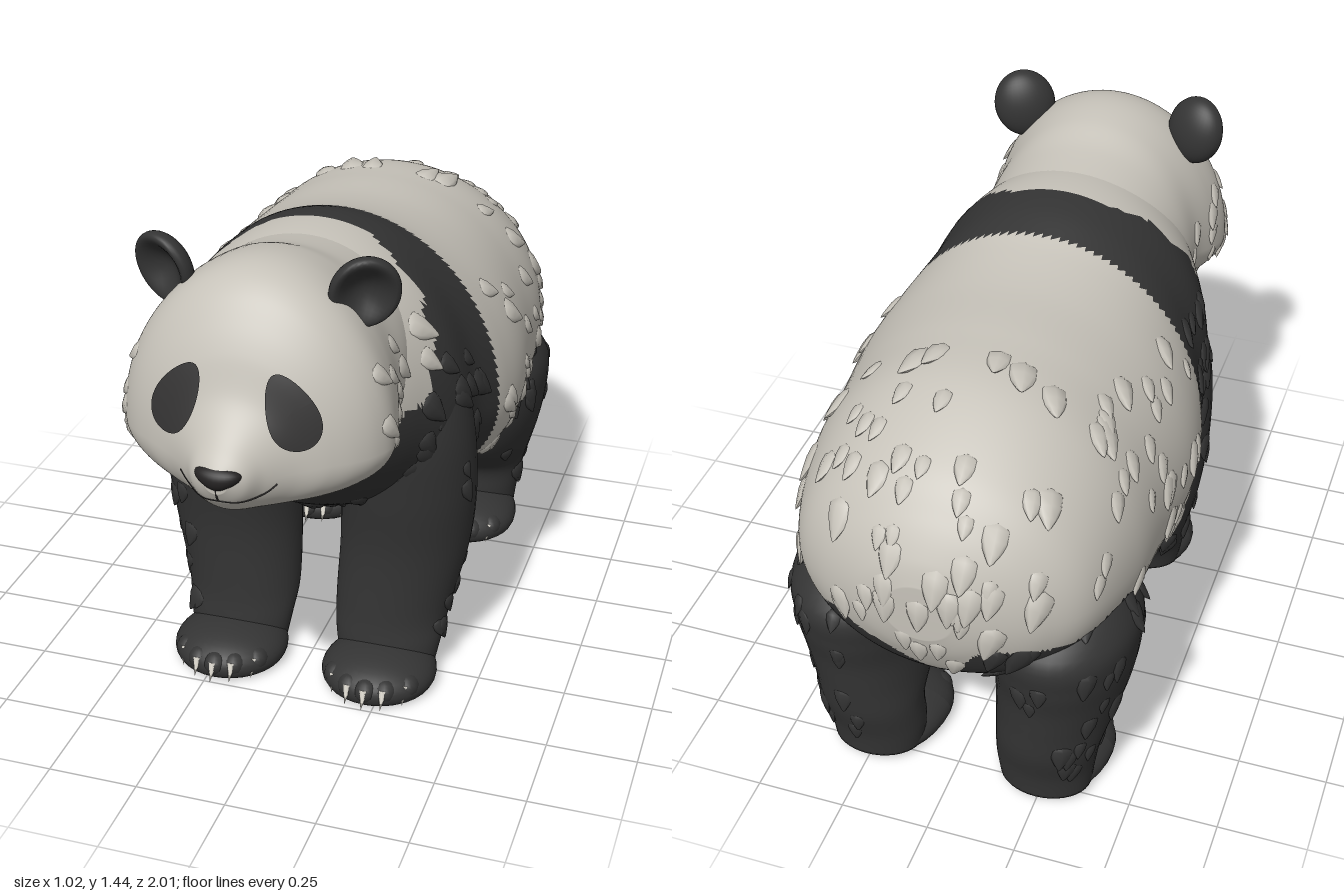
import * as THREE from 'three';
import { mergeGeometries } from 'three/addons/utils/BufferGeometryUtils.js';

const mat = (name, color, side = THREE.FrontSide) => {
  const m = new THREE.MeshStandardMaterial({ color, side });
  m.name = name;
  return m;
};

// Seeded random numbers for the fur
let seed = 7;
const rand = () => (seed = (seed * 16807) % 2147483647) / 2147483647;

// Zigzag of -1..1 used for the furry colour borders
const zigzag = (t) => Math.abs(((t % 2) + 2) % 2 - 1) * 2 - 1;

// Smooth value of all columns of a section table at t in 0..1
function sample(rows, t) {
  const f = t * (rows.length - 1), i = Math.min(Math.floor(f), rows.length - 2), k = f - i;
  const r = (n) => rows[Math.max(0, Math.min(rows.length - 1, n))];
  return rows[0].map((_, c) => {
    const a = r(i - 1)[c], b = r(i)[c], d = r(i + 1)[c], e = r(i + 2)[c];
    return b + 0.5 * k * (d - a + k * (2 * a - 5 * b + 4 * d - e + k * (3 * (b - d) + e - a)));
  });
}

// Closed skin through sections; triangles where isDark(point) go to the second material
function loft(rows, point, nRing, nLen, isDark) {
  const pos = [], light = [], dark = [], at = (j, i) => j * nRing + (i % nRing);
  for (let j = 0; j <= nLen + 2; j++) {
    const row = sample(rows, Math.max(0, Math.min(1, (j - 1) / nLen)));
    const cap = j === 0 || j === nLen + 2;
    const mid = point(row, 0).add(point(row, Math.PI)).multiplyScalar(0.5);
    for (let i = 0; i < nRing; i++) pos.push(...(cap ? mid : point(row, (i / nRing) * Math.PI * 2)).toArray());
  }
  const v = (n) => new THREE.Vector3().fromArray(pos, n * 3);
  for (let j = 0; j < nLen + 2; j++) for (let i = 0; i < nRing; i++) {
    const a = at(j, i), b = at(j + 1, i), c = at(j, i + 1), d = at(j + 1, i + 1);
    for (const t of [[a, b, c], [b, d, c]]) {
      const m = v(t[0]).add(v(t[1])).add(v(t[2])).divideScalar(3);
      (isDark(m) ? dark : light).push(...t);
    }
  }
  const g = new THREE.BufferGeometry();
  g.setAttribute('position', new THREE.Float32BufferAttribute(pos, 3));
  g.setIndex([...light, ...dark]);
  g.addGroup(0, light.length, 0);
  g.addGroup(light.length, dark.length, 1);
  g.computeVertexNormals();
  return g;
}

// Body ring: z, top, bottom, half width, height of widest point
const bodyRing = ([z, top, bot, w, mid], a) => {
  const c = Math.cos(a);
  return new THREE.Vector3(w * Math.sin(a), mid + c * (c > 0 ? top - mid : mid - bot), z);
};
// Leg ring: y, centre x, centre z, radius x, radius z
const legRing = (s) => ([y, cx, cz, rx, rz], a) =>
  new THREE.Vector3(s * cx + rx * Math.cos(a), y, cz + rz * Math.sin(a));

const TORSO = [
  [-0.985, 0.87, 0.70, 0.09, 0.78], [-0.96, 0.94, 0.62, 0.19, 0.77], [-0.9, 1.03, 0.52, 0.31, 0.76],
  [-0.8, 1.125, 0.45, 0.405, 0.76], [-0.6, 1.225, 0.36, 0.465, 0.75], [-0.4, 1.25, 0.32, 0.48, 0.75],
  [-0.2, 1.26, 0.355, 0.5, 0.75], [-0.05, 1.285, 0.41, 0.485, 0.75], [0.1, 1.33, 0.45, 0.44, 0.78],
  [0.25, 1.335, 0.5, 0.42, 0.84], [0.4, 1.31, 0.58, 0.35, 0.9], [0.5, 1.26, 0.66, 0.29, 0.93],
  [0.6, 1.2, 0.73, 0.22, 0.93], [0.68, 1.1, 0.79, 0.12, 0.93]];
const HEAD = [
  [0.26, 1.325, 0.8, 0.3, 1.05], [0.4, 1.35, 0.86, 0.315, 1.03], [0.5, 1.385, 0.83, 0.32, 1.0],
  [0.6, 1.40, 0.80, 0.345, 0.97], [0.68, 1.39, 0.795, 0.355, 0.96], [0.74, 1.355, 0.80, 0.335, 0.96],
  [0.79, 1.295, 0.81, 0.295, 0.96], [0.83, 1.225, 0.82, 0.24, 0.96], [0.87, 1.125, 0.83, 0.165, 0.95],
  [0.92, 1.06, 0.85, 0.105, 0.95], [0.965, 1.015, 0.89, 0.07, 0.955], [0.99, 0.985, 0.93, 0.03, 0.96]];
const FRONT_LEG = [
  [0.02, 0.225, 0.25, 0.14, 0.09], [0.1, 0.225, 0.235, 0.155, 0.1], [0.2, 0.228, 0.195, 0.168, 0.132],
  [0.4, 0.252, 0.165, 0.187, 0.165], [0.6, 0.26, 0.18, 0.195, 0.18], [0.8, 0.248, 0.2, 0.195, 0.18],
  [1.0, 0.212, 0.19, 0.182, 0.16], [1.15, 0.14, 0.18, 0.13, 0.1]];
const BACK_LEG = [
  [0.02, 0.25, -0.72, 0.13, 0.1], [0.1, 0.25, -0.72, 0.14, 0.11], [0.2, 0.26, -0.725, 0.148, 0.13],
  [0.3, 0.27, -0.675, 0.168, 0.19], [0.4, 0.28, -0.65, 0.185, 0.225], [0.5, 0.283, -0.645, 0.198, 0.25],
  [0.6, 0.28, -0.645, 0.2, 0.25], [0.7, 0.265, -0.635, 0.165, 0.15]];

// Dark hips, shoulder band and throat
function bodyDark({ x, y, z }) {
  if (z < 0) return z < -0.4 - Math.max(0, 0.52 - y) * 0.4 && (Math.abs(x) > 0.14 || z < -0.75) &&
    y < 0.67 - 0.14 * Math.exp(-((x / 0.11) ** 2)) - 3.2 * Math.max(0, z + 0.6) ** 2 + 0.02 * zigzag((z + x) * 9);
  if (z < 0.7 && y < 0.95 - (z - 0.38) * 0.5 + 0.015 * zigzag(z * 18)) return true;
  return z < (y > 1.12 ? 0.18 + (1.34 - y) * 0.5 : 0.29 + (1.12 - y) * 0.4) + 0.015 * zigzag(y * 16);
}

// Teardrop lock of fur rising from the skin, its root buried
const lockShape = new THREE.SphereGeometry(0.5, 8, 6);
for (let i = 0, p = lockShape.attributes.position; i < p.count; i++) {
  const taper = 1 - 0.8 * (p.getY(i) + 0.5);
  p.setXYZ(i, p.getX(i) * taper, p.getY(i), p.getZ(i) * taper * 0.55);
}
lockShape.computeVertexNormals();
function tuft(p, n, flow, size) {
  const d = flow.clone().addScaledVector(n, -flow.dot(n)).normalize().addScaledVector(n, 0.28).normalize();
  const side = new THREE.Vector3().crossVectors(d, n).normalize();
  const up = new THREE.Vector3().crossVectors(side, d);
  return lockShape.clone().scale(size, size, size).applyMatrix4(
    new THREE.Matrix4().makeBasis(side, d, up).setPosition(p.clone().addScaledVector(n, -0.05 * size)));
}

export function createModel() {
  const model = new THREE.Group();
  const white = mat('cream fur', 0xc6c2b9), black = mat('dark fur', 0x343434);
  const noseMat = mat('nose', 0x242222), clawMat = mat('claw', 0xdcd8ce), padMat = mat('paw pad', 0x95938c);
  const patchMat = mat('eye patch', 0x343333, THREE.DoubleSide);
  const add = (name, geo, m, parent = model) => {
    const mesh = new THREE.Mesh(geo, m);
    mesh.name = name;
    parent.add(mesh);
    return mesh;
  };
  const locks = [[], []];
  const grow = (geo, count, flow, size, isDark, keep) => {
    const P = geo.attributes.position, N = geo.attributes.normal;
    for (let k = 0; k < count; k++) {
      const i = Math.floor(rand() * P.count);
      const p = new THREE.Vector3().fromBufferAttribute(P, i), n = new THREE.Vector3().fromBufferAttribute(N, i);
      if (keep(p)) locks[isDark(p) ? 1 : 0].push(tuft(p, n, flow, size * (0.7 + 0.6 * rand())));
    }
  };

  // Torso and head
  const torso = loft(TORSO, bodyRing, 120, 125, bodyDark);
  add('torso', torso, [white, black]);
  grow(torso, 640, new THREE.Vector3(0, -0.7, -0.6), 0.1, bodyDark, (p) => p.y > 0.5 && p.z < 0.36 &&
    (p.y < 1.12 || p.z < -0.5) && (p.z > 0.07 || p.z < -0.05) && (p.z > -0.8 || rand() < 0.25));
  const headGeo = loft(HEAD, bodyRing, 100, 96, bodyDark);
  const head = add('head', headGeo, [white, black]);
  grow(headGeo, 240, new THREE.Vector3(0, -0.8, -0.6), 0.075, bodyDark,
    (p) => p.z > 0.42 && p.z < 0.72 && p.y < 1.17 && p.y > 0.83);

  // Points on the face, found by casting straight back
  head.updateMatrixWorld();
  const ray = new THREE.Raycaster();
  const onFace = (x, y, lift) => {
    ray.set(new THREE.Vector3(x, y, 2), new THREE.Vector3(0, 0, -1));
    const hit = ray.intersectObject(head)[0];
    return new THREE.Vector3(x, y, (hit ? hit.point.z : 0.8) + lift);
  };

  for (const s of [1, -1]) {
    const label = s > 0 ? 'left' : 'right';

    // Teardrop eye patch
    const disc = new THREE.RingGeometry(0.001, 1, 40, 8), dp = disc.attributes.position;
    for (let i = 0; i < dp.count; i++) {
      const v = dp.getY(i) * 0.1, u = dp.getX(i) * (0.056 - v * 0.14);
      const q = onFace(s * (0.147 + u * 0.88 - v * 0.48), 1.105 + v * 0.88 + u * 0.48, 0.009);
      dp.setXYZ(i, q.x, q.y, q.z);
    }
    if (s < 0) {
      const ix = disc.index.array;
      for (let i = 0; i < ix.length; i += 3) [ix[i], ix[i + 1]] = [ix[i + 1], ix[i]];
    }
    disc.computeVertexNormals();
    add(label + 'EyePatch', disc, patchMat);

    // Cupped ear
    const ear = new THREE.SphereGeometry(1, 32, 24), ep = ear.attributes.position;
    for (let i = 0; i < ep.count; i++) {
      const x = ep.getX(i), y = ep.getY(i), z = ep.getZ(i), r2 = x * x + y * y;
      ep.setXYZ(i, x * 0.09, y * 0.1, z > 0 ? z * 0.05 - 0.075 * (1 - r2) * z : z * 0.055);
    }
    ear.computeVertexNormals();
    const earMesh = add(label + 'Ear', ear, black);
    earMesh.position.set(s * 0.262, 1.338, 0.625);
    earMesh.rotation.set(0.22, s * 0.4, -s * 0.3);

    // Legs with paws, toes, claws and pads
    for (const [name, rows, cx, cz, heel] of [
      ['FrontLeg', FRONT_LEG, 0.225, 0.33, 0.175], ['BackLeg', BACK_LEG, 0.245, -0.6, 0.22]]) {
      const leg = new THREE.Group();
      leg.name = label + name;
      model.add(leg);
      const geo = loft(rows, legRing(s), 40, 40, () => true);
      add('limb', geo, black, leg);
      grow(geo, 75, new THREE.Vector3(0, -1, -0.3), 0.08, () => true,
        (p) => p.y > 0.12 && p.y < 0.95 && (p.x * s > 0.33 || (p.z < cz - 0.2 && p.x * s > 0.2)));
      const paw = new THREE.SphereGeometry(1, 32, 20), pp = paw.attributes.position;
      for (let i = 0; i < pp.count; i++)
        pp.setXYZ(i, pp.getX(i) * 0.165, Math.max(0.003, 0.035 + pp.getY(i) * 0.078),
          pp.getZ(i) * (pp.getZ(i) < 0 ? heel : 0.165));
      paw.computeVertexNormals();
      add('paw', paw, black, leg).position.set(s * cx, 0, cz);
      for (let k = -2; k <= 2; k++) {
        const x = s * cx + k * 0.052, z = cz + 0.14 - 0.014 * k * k;
        const toe = add('toe', new THREE.SphereGeometry(1, 14, 10), black, leg);
        toe.scale.set(0.036, 0.036, 0.04);
        toe.position.set(x, 0.045, z - 0.008);
        const claw = add('claw', new THREE.ConeGeometry(0.013, 0.055, 8), clawMat, leg);
        claw.position.set(x, 0.035, z + 0.032);
        claw.rotation.x = 2.6;
      }
      const pad = add('pad', new THREE.CylinderGeometry(1, 1, 0.006, 28), padMat, leg);
      pad.scale.set(0.06, 1, 0.048);
      pad.position.set(s * cx, 0.003, cz);
    }
  }

  // Nose and mouth
  const nose = new THREE.SphereGeometry(1, 28, 20), np = nose.attributes.position;
  for (let i = 0; i < np.count; i++) {
    const y = np.getY(i);
    np.setXYZ(i, np.getX(i) * (0.056 + 0.024 * y), y * 0.032, np.getZ(i) * 0.035);
  }
  nose.computeVertexNormals();
  add('nose', nose, noseMat).position.set(0, 0.964, 0.968);
  const line = (pts) => new THREE.TubeGeometry(
    new THREE.CatmullRomCurve3(pts.map(([x, y]) => onFace(x, y, -0.001))), 32, 0.003, 6);
  add('mouth', mergeGeometries([
    line([[-0.125, 0.93], [-0.1, 0.91], [-0.05, 0.898], [0, 0.904], [0.05, 0.898], [0.1, 0.91], [0.125, 0.93]]),
    line([[0, 0.945], [0, 0.925], [0, 0.904]])]), noseMat);

  // Fur locks
  add('lightFur', mergeGeometries(locks[0]), white);
  add('darkFur', mergeGeometries(locks[1]), black);
  return model;
}
